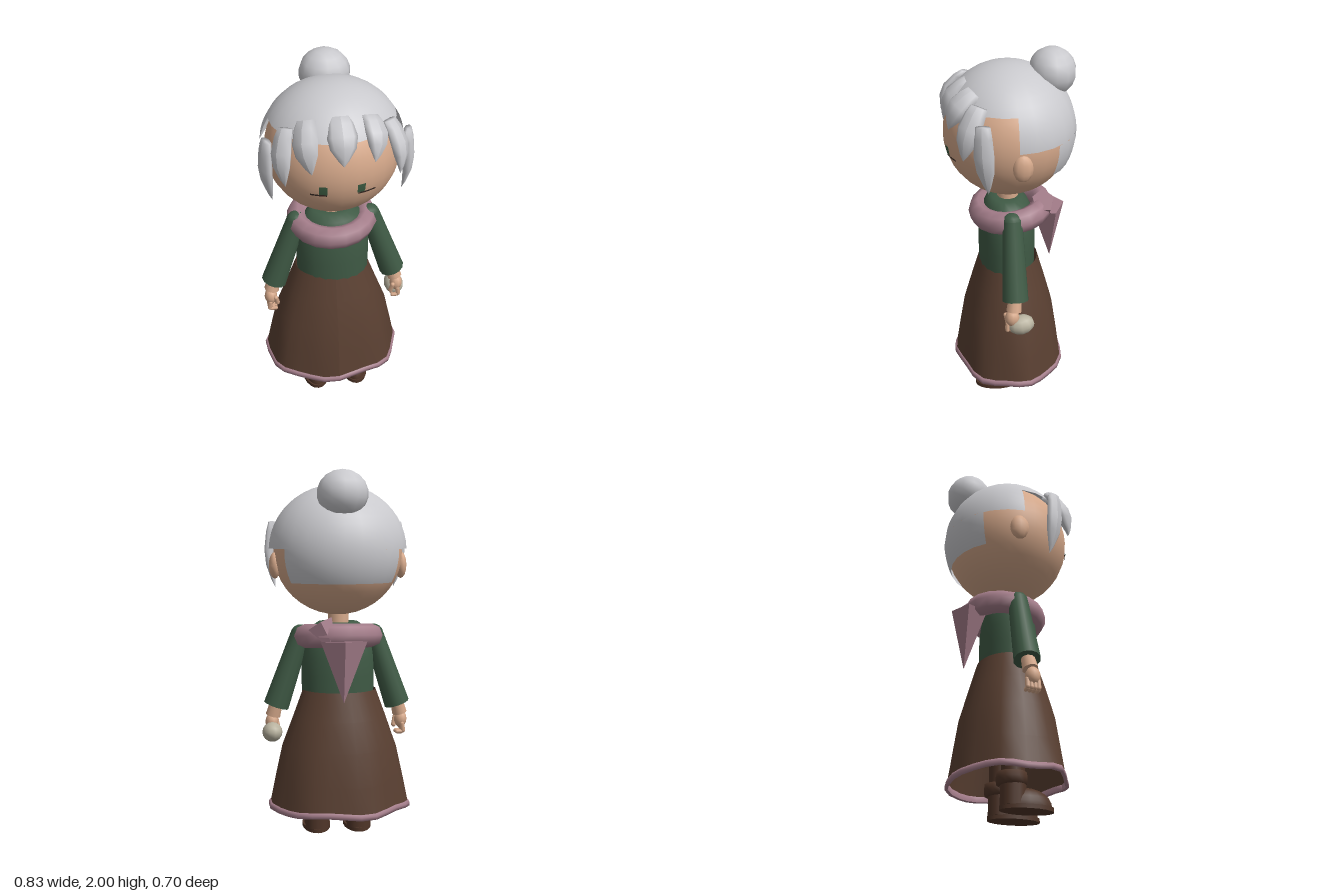
import * as THREE from 'three';

const V = (x, y, z) => new THREE.Vector3(x, y, z);
const mat = (name, color, side = THREE.FrontSide) => {
  const m = new THREE.MeshStandardMaterial({ color, side });
  m.name = name;
  return m;
};

export function createModel() {
  const D = THREE.DoubleSide;
  const silver = mat('silver hair', 0xc9c9cd, D);
  const skin = mat('skin', 0xd6a98b);
  const green = mat('green wool', 0x3f5a45, D);
  const brown = mat('brown skirt', 0x593f31, D);
  const leather = mat('boot leather', 0x4f3528);
  const pink = mat('dusty pink', 0xa57e8b, D);
  const stone = mat('pale wool', 0xb9b3a0);
  const iris = mat('eye green', 0x3d5c42, D);
  const dark = mat('lash', 0x3a2c26, D);

  const model = new THREE.Group();
  model.name = 'woman';

  const add = (name, geo, material, pos = [0, 0, 0], scale = [1, 1, 1], rot = [0, 0, 0], parent = model) => {
    const m = new THREE.Mesh(geo, material);
    m.name = name;
    m.position.set(...pos);
    m.scale.set(...scale);
    m.rotation.set(...rot);
    parent.add(m);
    return m;
  };
  const ball = (w = 16, h = 12) => new THREE.SphereGeometry(1, w, h);
  const lathe = (pts, n) => new THREE.LatheGeometry(pts.map(p => new THREE.Vector2(...p)), n);
  // Tapered round limb between two points
  const limb = (name, a, b, ra, rb, material, n = 12, open = false) => {
    const m = add(name, new THREE.CylinderGeometry(ra, rb, a.distanceTo(b), n, 1, open), material);
    m.position.copy(a).lerp(b, 0.5);
    m.quaternion.setFromUnitVectors(V(0, 1, 0), a.clone().sub(b).normalize());
    return m;
  };

  // Head, neck and ears
  const C = [-0.007, 1.57, 0], R = [0.35, 0.34, 0.34];
  add('head', ball(28, 20), skin, C, R);
  add('neck', new THREE.CylinderGeometry(0.055, 0.06, 0.16, 12), skin, [-0.01, 1.21, 0]);
  for (const s of [-1, 1]) add('ear', ball(10, 8), skin, [s * 0.345 - 0.007, 1.5, -0.022], [0.032, 0.072, 0.053]);

  // Eyes: patches that follow the curve of the face
  const patch = (name, x0, x1, y0, y1, material, lift) => {
    const theta = y => Math.acos((y - C[1]) / R[1]);
    const phi = x => Math.acos(-(x - C[0]) / (R[0] * Math.sin(theta((y0 + y1) / 2))));
    const geo = new THREE.SphereGeometry(1, 4, 3, phi(x0), phi(x1) - phi(x0), theta(y1), theta(y0) - theta(y1));
    add(name, geo, material, C, R.map(r => r + lift));
  };
  patch('rightIris', -0.125, -0.085, 1.49, 1.54, iris, 0.004);
  patch('leftIris', 0.063, 0.103, 1.49, 1.54, iris, 0.004);
  patch('rightLash', -0.165, -0.087, 1.482, 1.492, dark, 0.006);
  patch('leftLash', 0.068, 0.158, 1.482, 1.492, dark, 0.006);

  // Hair cap in three stepped bands: crown, back half, nape
  const P = Math.PI;
  const bands = [
    ['hairCrown', 0, 2 * P, 0, 1.04, 24, 8],
    ['hairBack', P, P, 1.04, 0.5, 12, 4],
    ['hairNape', P + 0.64, P - 1.28, 1.54, 0.52, 8, 4],
  ];
  for (const [name, p0, p, t0, t, w, h] of bands) {
    add(name, new THREE.SphereGeometry(1, w, h, p0, p, t0, t), silver, [-0.007, 1.58, 0], [0.376, 0.355, 0.358]);
  }
  add('hairBun', ball(12, 9), silver, [-0.008, 1.875, -0.23], [0.135, 0.125, 0.125]);

  // Locks: flat, bowed, pointed; top a, tip b
  const lock = (name, a, b, w, bow) => {
    const len = a.distanceTo(b);
    const geo = lathe([[0, -1], [0.35, -0.88], [0.85, -0.65], [1, -0.42], [0.88, -0.15], [0.72, 0], [0, 0]], 8);
    geo.scale(w, len, w * 0.5);
    const p = geo.attributes.position;
    for (let i = 0; i < p.count; i++) {
      const t = -p.getY(i) / len;
      p.setZ(i, p.getZ(i) + bow * 4 * t * (1 - t));
    }
    geo.computeVertexNormals();
    const y = a.clone().sub(b).normalize();
    const out = V(a.x, 0.12, a.z);
    const x = y.clone().cross(out).normalize();
    const m = add(name, geo, silver);
    m.quaternion.setFromRotationMatrix(new THREE.Matrix4().makeBasis(x, y, x.clone().cross(y)));
    m.position.copy(a);
  };
  lock('fringeLock', V(-0.265, 1.8, 0.18), V(-0.285, 1.535, 0.285), 0.066, 0.03);
  lock('fringeLock', V(-0.165, 1.84, 0.19), V(-0.16, 1.612, 0.325), 0.072, 0.035);
  lock('fringeLock', V(-0.005, 1.85, 0.2), V(-0.005, 1.648, 0.335), 0.075, 0.035);
  lock('fringeLock', V(0.145, 1.84, 0.19), V(0.15, 1.655, 0.325), 0.07, 0.035);
  lock('fringeLock', V(0.245, 1.8, 0.18), V(0.29, 1.54, 0.27), 0.066, 0.03);
  for (const s of [-1, 1]) {
    lock('sideLock', V(s * 0.35 - 0.01, 1.735, 0.175), V(s * 0.335 - 0.005, 1.37, 0.15), 0.054, 0.022);
  }

  // Bodice
  add('bodice', lathe([[0.2, 0.78], [0.203, 0.9], [0.2, 1.0], [0.185, 1.1], [0.15, 1.16], [0.11, 1.19], [0.055, 1.185]], 20),
    green, [-0.008, 0, 0.008], [1, 1, 0.77]);

  // Skirt: hem waves in height and radius; the trim shares the rule
  const waveHem = geo => {
    const p = geo.attributes.position;
    for (let i = 0; i < p.count; i++) {
      const x = p.getX(i), y = p.getY(i), z = p.getZ(i), a = Math.atan2(x, z);
      const k = Math.max(0, 1 - Math.max(0, y - 0.15) / 0.5);
      const f = 1 + 0.03 * k * Math.cos(7 * a + 0.5);
      p.setXYZ(i, x * f, y + 0.008 * k * Math.sin(5 * a), z * f);
    }
    geo.computeVertexNormals();
    return geo;
  };
  const skirtAt = [-0.015, 0, -0.003], skirtScale = [1, 1, 0.79];
  add('skirt', waveHem(lathe([[0.385, 0.16], [0.355, 0.32], [0.318, 0.5], [0.26, 0.66], [0.203, 0.815]], 28)), brown, skirtAt, skirtScale);
  add('skirtTrim', waveHem(lathe([[0.372, 0.152], [0.392, 0.15], [0.394, 0.168], [0.387, 0.182], [0.37, 0.182], [0.372, 0.152]], 28)),
    pink, skirtAt, skirtScale);

  // Scarf ring, tilted down at the front, with its folded corner behind
  const ring = new THREE.TorusGeometry(0.187, 0.062, 8, 18);
  ring.rotateX(-P / 2);
  add('scarfRing', ring, pink, [-0.008, 1.112, -0.015], [1, 1.05, 0.93], [0.12, 0, 0]);
  const corner = new THREE.ConeGeometry(1, 1, 5);
  corner.rotateX(P);
  const flat = corner.toNonIndexed();
  flat.computeVertexNormals();
  add('scarfCorner', flat, pink, [-0.015, 0.94, -0.228], [0.13, 0.33, 0.1], [0.08, 0, 0]);
  add('scarfFold', flat, pink, [0.06, 1.11, -0.2], [0.075, 0.2, 0.06], [0.3, 0, -0.5]);

  // Sleeves, wrists and curled hands
  for (const s of [-1, 1]) {
    const ox = -0.004;
    const shoulder = V(s * 0.2 + ox, 1.13, 0.008), cuff = V(s * 0.34 + ox, 0.722, 0.014);
    limb('sleeve', shoulder, cuff, 0.054, 0.071, green, 12);
    add('shoulder', ball(12, 8), green, shoulder.toArray(), [0.055, 0.045, 0.055]);
    limb('wrist', V(s * 0.338 + ox, 0.74, 0.015), V(s * 0.358 + ox, 0.665, 0.025), 0.036, 0.042, skin, 10);
    const h = [s * 0.365 + ox, 0.625, 0.035];
    add('palm', ball(10, 8), skin, h, [0.036, 0.05, 0.04]);
    for (let i = 0; i < 4; i++) {
      const z = 0.062 - i * 0.019;
      add('finger', new THREE.CapsuleGeometry(0.013, 0.04, 3, 6), skin,
        [h[0] + s * 0.008, 0.578 + i * 0.002, z], [1, 1, 1], [0, 0, s * 0.15]);
      add('fingertip', new THREE.CapsuleGeometry(0.012, 0.026, 3, 6), skin,
        [h[0] - s * 0.01, 0.552 + i * 0.002, z], [1, 1, 1], [0, 0, P / 2]);
    }
    add('thumb', new THREE.CapsuleGeometry(0.014, 0.045, 3, 6), skin, [h[0] - s * 0.03, 0.61, 0.062], [1, 1, 1], [0.2, 0, -s * 0.2]);
  }
  add('yarnBall', ball(10, 8), stone, [0.36, 0.577, -0.014], [0.056, 0.055, 0.074], [0.15, 0, 0]);

  // Legs and boots
  for (const s of [-1, 1]) {
    const x = s * 0.118 - 0.008;
    limb('leg', V(x, 0.7, 0), V(x, 0.15, 0), 0.07, 0.062, leather, 12);
    add('bootShaft', new THREE.CylinderGeometry(0.066, 0.068, 0.16, 14), leather, [x, 0.1, 0]);
    add('bootCuff', lathe([[0.06, 0.125], [0.078, 0.13], [0.082, 0.16], [0.078, 0.19], [0.055, 0.195]], 14), leather, [x, 0, -0.008]);
    add('bootToe', new THREE.SphereGeometry(1, 16, 6, 0, 2 * P, 0, P / 2), leather, [x, 0.018, 0.07], [0.07, 0.1, 0.135]);
    add('bootSole', new THREE.CylinderGeometry(1, 1, 0.022, 20), leather, [x, 0.011, 0.07], [0.079, 1, 0.142]);
  }
  return model;
}
